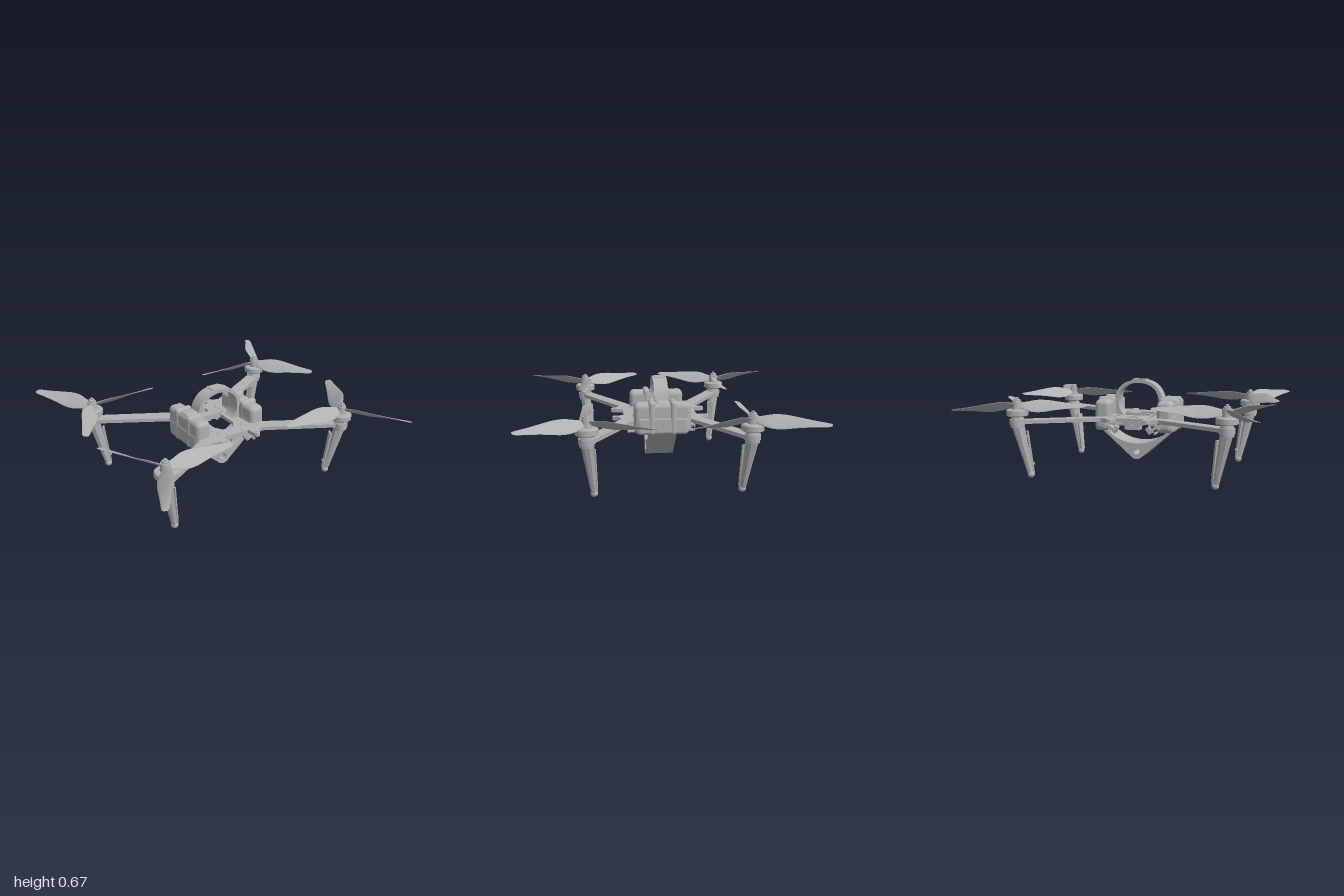
import * as THREE from 'three';
import { toCreasedNormals } from 'three/addons/utils/BufferGeometryUtils.js';
import { RoundedBoxGeometry } from 'three/addons/geometries/RoundedBoxGeometry.js';
import { ParametricGeometry } from 'three/addons/geometries/ParametricGeometry.js';

const V = (x, y, z) => new THREE.Vector3(x, y, z);
const box = (w, h, d, x, y, z) => new THREE.BoxGeometry(w, h, d).translate(x, y, z);
const cyl = (rt, rb, y0, y1, n = 32) => new THREE.CylinderGeometry(rt, rb, y1 - y0, n).translate(0, (y0 + y1) / 2, 0);

// Extrude a front-facing shape between two z positions
function slab(shape, z0, z1) {
  const g = new THREE.ExtrudeGeometry(shape, { depth: z1 - z0, bevelEnabled: false, curveSegments: 20 });
  return toCreasedNormals(g.translate(0, 0, z0), 0.6);
}

// Copy a geometry into another quadrant, keeping its faces outward
function mirrored(geo, sx, sz) {
  const g = geo.index ? geo.toNonIndexed() : geo.clone();
  g.scale(sx, 1, sz);
  if (sx * sz < 0) {
    for (const a of Object.values(g.attributes)) {
      const n = a.itemSize;
      for (let i = 0; i < a.count; i += 3) {
        for (let k = 0; k < n; k++) {
          const p = (i + 1) * n + k, q = (i + 2) * n + k, t = a.array[p];
          a.array[p] = a.array[q];
          a.array[q] = t;
        }
      }
    }
  }
  return g;
}

// Twisted blade lying along +x between two edge curves
function bladeGeometry() {
  const lead = new THREE.CatmullRomCurve3([V(0.01, -0.012, -0.015), V(0.06, -0.025, -0.035), V(0.13, -0.036, -0.052),
    V(0.2, -0.036, -0.051), V(0.3, -0.02, -0.041), V(0.4, -0.007, -0.031), V(0.49, 0.002, -0.021), V(0.505, 0.006, -0.008)]);
  const trail = new THREE.CatmullRomCurve3([V(0.01, 0.012, 0.015), V(0.06, 0.022, 0.024), V(0.13, 0.036, 0.043),
    V(0.2, 0.037, 0.051), V(0.3, 0.029, 0.042), V(0.4, 0.02, 0.031), V(0.495, 0.013, 0.02), V(0.505, 0.008, 0.008)]);
  return new ParametricGeometry((u, v, out) => {
    const a = u * Math.PI * 2;
    out.copy(lead.getPoint(v)).lerp(trail.getPoint(v), (1 - Math.cos(a)) / 2);
    out.y += Math.sin(a) * (0.009 * (1 - v) + 0.0015);
  }, 16, 36);
}

// Lean a leg part inwards (+x) towards the ground
function lean(g) {
  const p = g.attributes.position;
  for (let i = 0; i < p.count; i++) p.setX(i, p.getX(i) + 0.09 * (1 - p.getY(i) / 0.385));
  g.computeVertexNormals();
  return g;
}

// Centre plate with its four arms in one outline
function plateShape() {
  const q = [[0, 0.262], [0.1, 0.262], [0.11, 0.335], [0.118, 0.345], [0.145, 0.345], [0.155, 0.315], [0.175, 0.295],
    [0.21, 0.285], [0.24, 0.3], [0.72, 0.565], [0.765, 0.49], [0.265, 0.205], [0.2, 0.185], [0.17, 0.15], [0.165, 0]];
  const r = q.slice(0, -1).reverse();
  const half = [...q, ...r.map(([x, z]) => [x, -z])];
  const all = [...half, ...half.slice(1, -1).reverse().map(([x, z]) => [-x, z])];
  const s = new THREE.Shape(all.map(([x, z]) => new THREE.Vector2(x, -z)));
  const hole = pts => s.holes.push(new THREE.Path(pts.map(([x, z]) => new THREE.Vector2(x, -z))));
  hole([[-0.08, -0.06], [0.08, -0.06], [0.08, 0.1], [0.045, 0.158], [-0.045, 0.158], [-0.08, 0.1]]);
  hole([[-0.038, -0.205], [0, -0.19], [0.038, -0.205], [0.036, -0.15], [-0.036, -0.15]]);
  for (const x of [-1, 1]) for (const z of [-1, 1]) for (const [hx, hz] of [[0.128, 0.315], [0.06, 0.235], [0.1, 0.17]])
    s.holes.push(new THREE.Path().absarc(x * hx, z * hz, 0.007, 0, Math.PI * 2));
  return s;
}

// Carrying hoop over the body
function handleShape() {
  const s = new THREE.Shape();
  s.moveTo(-0.18, 0.4);
  s.lineTo(-0.182, 0.53);
  s.bezierCurveTo(-0.165, 0.6, -0.12, 0.65, -0.06, 0.66);
  s.lineTo(-0.045, 0.67);
  s.lineTo(0.045, 0.67);
  s.lineTo(0.06, 0.66);
  s.bezierCurveTo(0.12, 0.65, 0.165, 0.6, 0.182, 0.53);
  s.lineTo(0.18, 0.4);
  s.lineTo(0.085, 0.4);
  s.bezierCurveTo(0.13, 0.42, 0.15, 0.45, 0.152, 0.51);
  s.bezierCurveTo(0.15, 0.6, 0.09, 0.645, 0, 0.645);
  s.bezierCurveTo(-0.09, 0.645, -0.15, 0.6, -0.152, 0.51);
  s.bezierCurveTo(-0.15, 0.45, -0.13, 0.42, -0.085, 0.4);
  return s;
}

// Belly pod: V-shaped below, hollowed by an arc above
function podShape() {
  const s = new THREE.Shape();
  s.moveTo(-0.285, 0.325);
  s.lineTo(-0.04, 0.112);
  s.quadraticCurveTo(0, 0.078, 0.04, 0.112);
  s.lineTo(0.285, 0.325);
  s.lineTo(0.225, 0.3);
  s.quadraticCurveTo(0.13, 0.212, 0, 0.21);
  s.quadraticCurveTo(-0.13, 0.212, -0.225, 0.3);
  s.holes.push(new THREE.Path().absarc(0, 0.152, 0.024, 0, Math.PI * 2));
  return s;
}

export function createModel() {
  const root = new THREE.Group();
  root.name = 'quadcopter';
  const grey = new THREE.MeshStandardMaterial({ color: 0xb0b0b0 });
  grey.name = 'grey';
  const add = (name, geo, parent = root) => {
    const m = new THREE.Mesh(geo, grey);
    m.name = name;
    parent.add(m);
  };

  // Frame
  add('framePlate', slab(plateShape(), 0, 0.026).rotateX(-Math.PI / 2).translate(0, 0.386, 0));
  add('handle', slab(handleShape(), -0.05, 0.05));
  add('handleGrip', box(0.1, 0.008, 0.07, 0, 0.668, 0));
  add('crossBar', box(0.18, 0.02, 0.02, 0, 0.42, -0.065));

  // Belly pod with end collars
  add('bellyPod', slab(podShape(), -0.1, 0.1));
  const ring = new THREE.Shape().absarc(0, 0.152, 0.056, 0, Math.PI * 2);
  ring.holes.push(new THREE.Path().absarc(0, 0.152, 0.024, 0, Math.PI * 2));
  for (const z of [-1, 1]) add('podCollar', slab(ring, z * 0.08 - 0.022, z * 0.08 + 0.022));

  // Side battery packs and straps
  for (const s of [-1, 1]) {
    add('battery', new RoundedBoxGeometry(0.115, 0.22, 0.4, 5, 0.035).translate(s * 0.228, 0.42, 0));
    add('batteryCradle', new RoundedBoxGeometry(0.125, 0.13, 0.36, 4, 0.025).translate(s * 0.228, 0.37, 0));
    for (const z of [-0.076, 0.076])
      add('batteryStrap', new RoundedBoxGeometry(0.13, 0.243, 0.05, 5, 0.024).translate(s * 0.23, 0.424, z));
    add('batterySaddle', new RoundedBoxGeometry(0.115, 0.235, 0.11, 4, 0.03).translate(s * 0.22, 0.422, 0));
  }

  // Sensors and hooks under both ends of the plate
  for (const z of [-1, 1]) {
    add('sensorBody', box(0.15, 0.03, 0.08, 0, 0.372, z * 0.18));
    add('sensorHousing', box(0.11, 0.04, 0.06, 0, 0.345, z * 0.18));
    add('sensorLens', new THREE.CylinderGeometry(0.017, 0.017, 0.03, 20).rotateX(Math.PI / 2).translate(0, 0.348, z * 0.215));
    for (const x of [-1, 1]) {
      const tilt = x * 0.6;
      add('clipArm', box(0.075, 0.022, 0.06, 0, 0, 0).rotateZ(tilt).translate(x * 0.155, 0.335, z * 0.2));
      add('clipBlock', box(0.03, 0.05, 0.04, 0, 0, 0).rotateZ(tilt).translate(x * 0.125, 0.325, z * 0.2));
      add('clipPin', new THREE.CylinderGeometry(0.01, 0.01, 0.05, 16).rotateX(Math.PI / 2).translate(x * 0.175, 0.31, z * 0.215));
      add('clipMount', box(0.05, 0.03, 0.07, x * 0.145, 0.372, z * 0.18));
      add('hook', box(0.02, 0.008, 0.05, x * 0.2, 0.355, z * 0.215));
      add('hookTip', box(0.02, 0.028, 0.007, x * 0.2, 0.35, z * 0.236));
      for (const d of [0.1, 0.14, 0.2])
        add('screw', cyl(0.007, 0.007, 0.41, 0.418, 10).translate(x * 0.125, 0, z * d));
    }
  }

  // One corner: motor, propeller and leg around the motor axis
  const inward = g => g.rotateY(Math.atan2(0.465, -0.885));
  const corner = [
    ['motorMount', cyl(0.054, 0.054, 0.38, 0.416)],
    ['motorBase', cyl(0.04, 0.046, 0.41, 0.445)],
    ['motorBell', new THREE.LatheGeometry([[0, 0.438], [0.068, 0.438], [0.075, 0.444], [0.075, 0.478], [0.068, 0.486], [0, 0.488]]
      .map(p => new THREE.Vector2(...p)), 40)],
    ['propellerHub', cyl(0.032, 0.036, 0.485, 0.54)],
    ['propellerNut', cyl(0.024, 0.026, 0.54, 0.556, 6)],
    ['motorShaft', cyl(0.011, 0.011, 0.55, 0.568, 16)],
    ['leg', inward(lean(cyl(0.046, 0.02, 0.02, 0.386, 8).scale(1, 1, 0.95)))],
    ['legCollar', cyl(0.05, 0.048, 0.36, 0.386)],
    ['foot', inward(new THREE.SphereGeometry(0.025, 20, 14).translate(0.087, 0.025, 0))],
  ];
  corner[2][1] = toCreasedNormals(corner[2][1], 0.5);
  corner[6][1] = toCreasedNormals(corner[6][1], 0.5);
  // Inner leg brace, tapering towards the foot
  const brace = new THREE.BoxGeometry(0.014, 0.29, 0.05, 1, 6, 1).translate(0, 0.185, 0);
  const bp = brace.attributes.position;
  for (let i = 0; i < bp.count; i++) {
    const t = bp.getY(i) / 0.33;
    bp.setX(i, bp.getX(i) + 0.02 + 0.035 * t);
    bp.setZ(i, bp.getZ(i) * (0.6 + 0.4 * t));
  }
  corner.push(['legBrace', inward(lean(brace))]);
  for (const y of [0.1, 0.2, 0.29])
    corner.push(['legRib', inward(lean(box(0.045, 0.014, 0.02, 0.025, y, 0)))]);
  for (let i = 0; i < 3; i++)
    corner.push(['blade', bladeGeometry().rotateY(Math.PI + i * Math.PI * 2 / 3).translate(0, 0.514, 0)]);

  for (const sx of [-1, 1]) for (const sz of [-1, 1]) {
    const g = new THREE.Group();
    g.name = (sz > 0 ? 'front' : 'back') + (sx > 0 ? 'Left' : 'Right') + 'Rotor';
    g.position.set(sx * 0.73, 0, sz * 0.53);
    for (const [name, geo] of corner) add(name, mirrored(geo, sx, sz), g);
    root.add(g);
  }
  return root;
}
